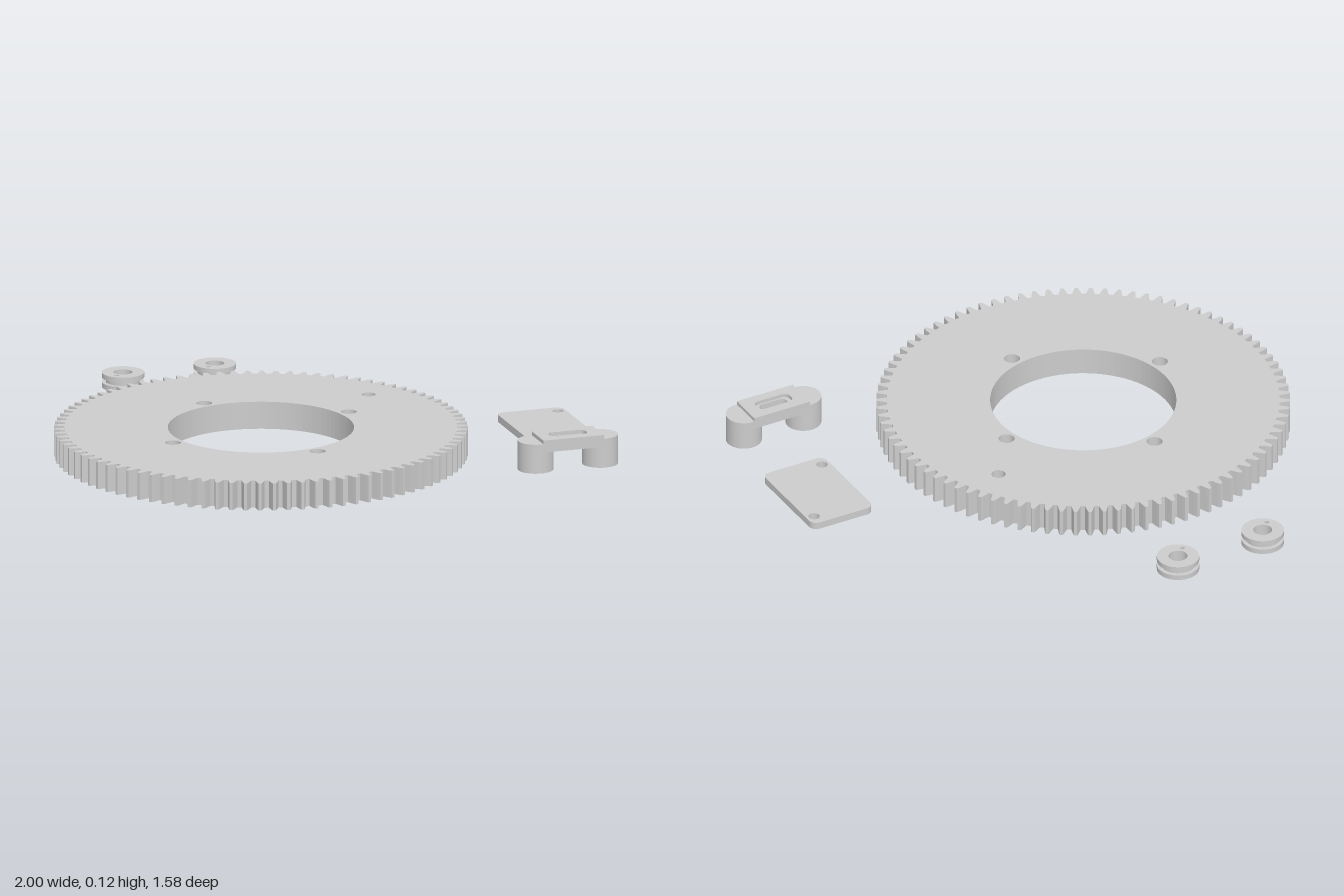
import * as THREE from 'three';

const grey = new THREE.MeshStandardMaterial({ color: 0xcccccc });
grey.name = 'grey plastic';

// Extrudes an (x, z) outline between two heights
function slab(name, shape, y0, y1, parent) {
  const geo = new THREE.ExtrudeGeometry(shape, { depth: y1 - y0, bevelEnabled: false, curveSegments: 24 });
  geo.rotateX(Math.PI / 2).translate(0, y1, 0);
  const mesh = new THREE.Mesh(geo, grey);
  mesh.name = name;
  parent.add(mesh);
}

function circle(x, z, r, Type = THREE.Path) {
  const path = new Type();
  path.absarc(x, z, r, 0, Math.PI * 2, false);
  return path;
}

// Rounded rectangle centred on the origin, half sizes a and b
function roundedRect(a, b, r, Type = THREE.Shape) {
  const s = new Type(), h = Math.PI / 2;
  s.absarc(a - r, b - r, r, 0, h, false);
  s.absarc(-a + r, b - r, r, h, 2 * h, false);
  s.absarc(-a + r, -b + r, r, 2 * h, 3 * h, false);
  s.absarc(a - r, -b + r, r, 3 * h, 4 * h, false);
  s.closePath();
  return s;
}

function part(name, x, z, turn, parent) {
  const g = new THREE.Group();
  g.name = name;
  g.position.set(x, 0, z);
  g.rotation.y = turn;
  parent.add(g);
  return g;
}

// Toothed ring outline with its bore and screw holes
function gearShape(screwRadius) {
  const teeth = 90, pitch = Math.PI * 2 / teeth, pts = [];
  const profile = [[-0.34, 0.664], [-0.27, 0.675], [-0.2, 0.687], [-0.11, 0.7],
    [0.11, 0.7], [0.2, 0.687], [0.27, 0.675], [0.34, 0.664]];
  for (let i = 0; i < teeth; i++) {
    for (const [t, r] of profile) {
      const a = (i + t) * pitch;
      pts.push(new THREE.Vector2(Math.cos(a) * r, Math.sin(a) * r));
    }
  }
  const s = new THREE.Shape(pts);
  const bore = new THREE.Path();
  bore.setFromPoints(circle(0, 0, 0.315).getPoints(48));
  s.holes.push(bore);
  for (let i = 0; i < 4; i++) {
    const a = 0.54 + i * Math.PI / 2;
    s.holes.push(circle(0.354 * Math.cos(a), 0.354 * Math.sin(a), screwRadius));
  }
  s.holes.push(circle(0.147, -0.524, 0.024));
  return s;
}

export function createModel() {
  const model = new THREE.Group();
  model.name = 'gearKit';

  // Large gear, screw holes widened from below
  const gear = part('gear', -0.139, 0.091, 0, model);
  slab('gearLower', gearShape(0.036), 0, 0.045, gear);
  slab('gearUpper', gearShape(0.027), 0.045, 0.095, gear);

  // Two grooved spools
  for (const [x, z] of [[-0.698, -0.69], [-0.928, -0.4545]]) {
    const spool = part('spool', x, z, 0, model);
    const ring = (r, pin) => {
      const s = circle(0, 0, r, THREE.Shape);
      s.holes.push(circle(0, 0, 0.032));
      if (pin) s.holes.push(circle(0, 0.05, 0.008));
      return s;
    };
    slab('lowerFlange', ring(0.072, true), 0, 0.018, spool);
    slab('core', ring(0.058, false), 0.018, 0.034, spool);
    slab('upperFlange', ring(0.072, true), 0.034, 0.051, spool);
  }

  // Flat plate with two corner holes
  const plate = part('plate', 0.596, -0.596, -Math.PI / 4, model);
  const plateShape = roundedRect(0.178, 0.118, 0.028);
  for (const s of [-1, 1]) plateShape.holes.push(circle(s * 0.135, s * 0.09, 0.019));
  slab('plateBody', plateShape, 0, 0.025, plate);

  // Bridge bracket: slotted beam on two hollow round legs
  const bracket = part('bracket', 0.856, -0.238, Math.PI / 4, model);
  const beam = roundedRect(0.176, 0.061, 0.0609);
  beam.holes.push(roundedRect(0.052, 0.02, 0.0199, THREE.Path));
  slab('beam', beam, 0.073, 0.102, bracket);
  const cap = roundedRect(0.108, 0.061, 0.0005);
  cap.holes.push(roundedRect(0.066, 0.026, 0.02, THREE.Path));
  slab('beamCap', cap, 0.102, 0.115, bracket);
  for (const side of [-1, 1]) {
    const leg = circle(side * 0.115, 0, 0.061, THREE.Shape);
    leg.holes.push(circle(side * 0.115, 0, 0.034));
    slab('leg', leg, 0, 0.073, bracket);
  }
  return model;
}
